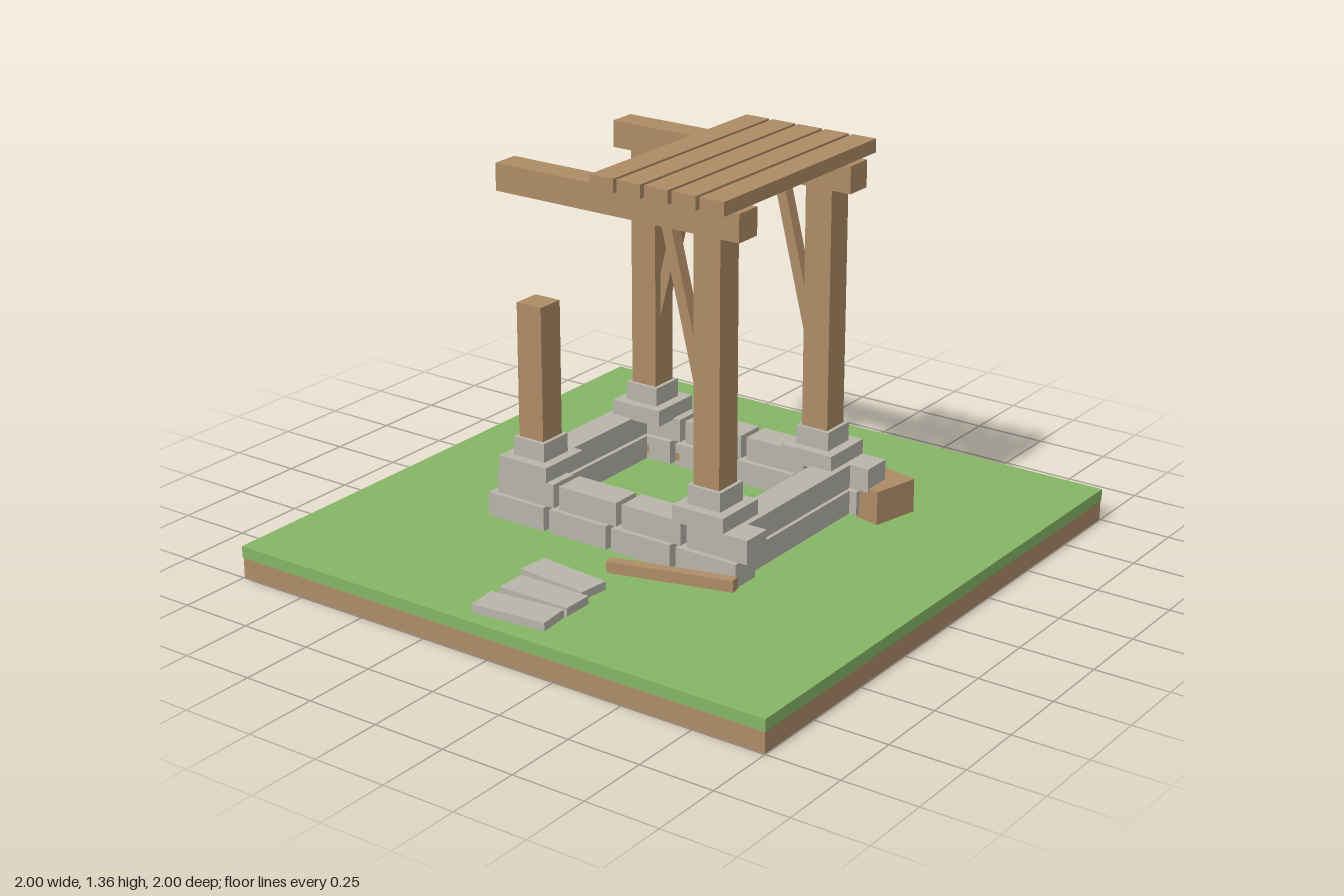
import * as THREE from 'three';

const wood = new THREE.MeshStandardMaterial({ name: 'wood', color: 0xae8b66 });
const stone = new THREE.MeshStandardMaterial({ name: 'stone', color: 0xb7b4aa });
const grass = new THREE.MeshStandardMaterial({ name: 'grass', color: 0x86b566 });
const dirt = new THREE.MeshStandardMaterial({ name: 'dirt', color: 0xae8a68 });

export function createModel() {
  const model = new THREE.Group();
  model.name = 'ruinedShelter';

  // Box given by its centre x and z, its bottom and top heights, and its footprint
  function block(name, material, x, z, y0, y1, width, depth, turn = 0) {
    const mesh = new THREE.Mesh(new THREE.BoxGeometry(width, y1 - y0, depth), material);
    mesh.position.set(x, (y0 + y1) / 2, z);
    mesh.rotation.y = turn;
    mesh.name = name;
    model.add(mesh);
    return mesh;
  }

  // Ground slab
  block('soil', dirt, 0, 0, 0, 0.07, 1.995, 1.995);
  block('lawn', grass, 0, 0, 0.07, 0.11, 2, 2);

  // Stone foundation: two staggered courses
  for (const side of [1, -1]) {
    const z = side * 0.343;
    for (let i = 0; i < 4; i++) {
      block('lowerStone', stone, -0.372 + i * 0.247, z, 0.135, 0.215, 0.225, 0.105);
      block('upperStone', stone, -0.33 + i * 0.247, z, 0.225, 0.305, 0.225, 0.105);
    }
    block('lowerSideStone', stone, side * 0.405, 0, 0.135, 0.215, 0.1, 0.58);
    block('upperSideStone', stone, side * 0.405, 0, 0.225, 0.305, 0.1, 0.58);
  }

  // Corner pedestals and posts; the front right post is broken off
  for (const x of [-0.34, 0.34]) {
    for (const z of [-0.302, 0.302]) {
      const broken = x < 0 && z > 0;
      block('pedestalBase', stone, x, z, 0.3, 0.355, 0.19, 0.19);
      block('pedestalCap', stone, x, z, 0.355, 0.418, 0.122, 0.122);
      block('post', wood, x, z, 0.418, broken ? 0.868 : 1.22, 0.096, 0.096);
      if (broken) continue;
      // Diagonal brace from post to beam
      const s = Math.sign(x);
      const top = new THREE.Vector2(s * 0.165, 1.24);
      const foot = new THREE.Vector2(s * 0.315, 0.64);
      const brace = block('brace', wood, (top.x + foot.x) / 2, z, 0, top.distanceTo(foot), 0.036, 0.04);
      brace.position.y = (top.y + foot.y) / 2;
      brace.rotation.z = Math.atan2(foot.x - top.x, top.y - foot.y);
    }
  }

  // Beams and remaining roof planks
  for (const z of [-0.303, 0.303]) block('beam', wood, -0.003, z, 1.22, 1.31, 0.915, 0.094);
  for (let i = 0; i < 5; i++) {
    block('roofPlank', wood, -0.002 + i * 0.1005, -0.003, 1.315, 1.36, 0.087, 0.83);
  }

  // Fallen planks fanned out behind
  [-0.585, -0.477, -0.367, -0.25].forEach((x, i) =>
    block('fallenPlank', wood, x, -0.47, 0.156, 0.183, 0.078, 0.36, i * 0.1));

  // Board lying by the front and a fallen beam stub
  const board = block('fallenBoard', wood, 0.314, 0.495, 0.156, 0.194, 0.43, 0.036, 0.165);
  board.rotation.z = 0.05;
  block('beamStub', wood, 0.483, -0.393, 0.122, 0.236, 0.2, 0.168, -0.23);

  // Stepping stones
  block('steppingStone', stone, -0.003, 0.625, 0.108, 0.138, 0.26, 0.105, -0.1);
  block('steppingStone', stone, 0.022, 0.752, 0.108, 0.138, 0.26, 0.105);
  block('steppingStone', stone, 0.025, 0.883, 0.108, 0.138, 0.26, 0.108, 0.1);

  return model;
}
